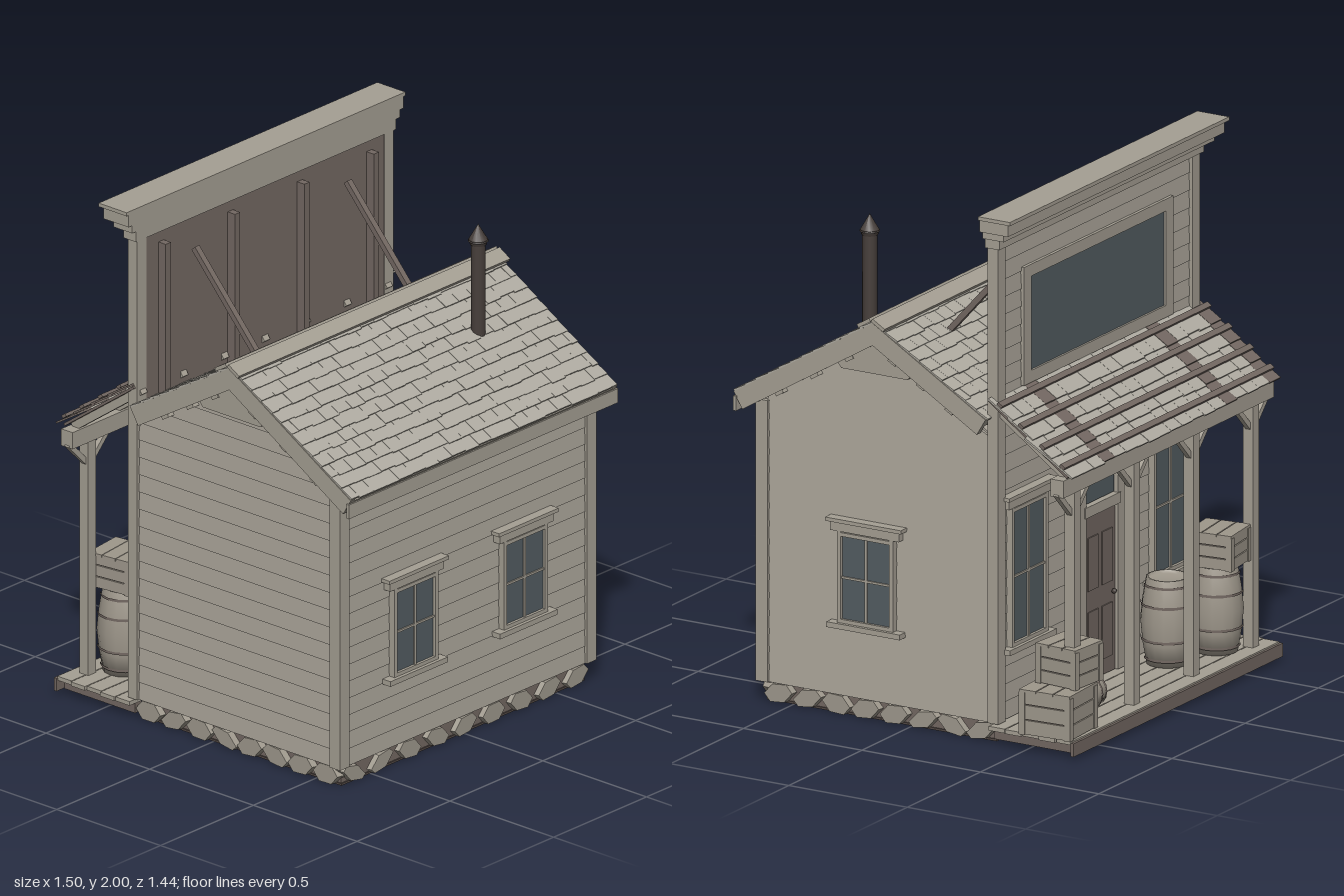
import * as THREE from 'three';
import { mergeGeometries } from 'three/addons/utils/BufferGeometryUtils.js';

const mat = (name, color) => {
  const m = new THREE.MeshStandardMaterial({ color });
  m.name = name;
  return m;
};
const M = {
  siding: mat('siding', 0xaaa499), trim: mat('trim', 0xa59f93), roof: mat('shingle', 0xafaba1),
  brown: mat('dark wood', 0x736862), glass: mat('glass', 0x535d62), stone: mat('stone', 0x9e988c),
  iron: mat('iron', 0x473f3b), base: mat('underside', 0x524844), crate: mat('crate wood', 0x9e978b),
};

let seed = 7;
const rnd = () => (seed = (seed * 16807) % 2147483647) / 2147483647;

function add(parent, name, geo, material, x = 0, y = 0, z = 0) {
  const m = new THREE.Mesh(geo, material);
  m.name = name;
  m.position.set(x, y, z);
  parent.add(m);
  return m;
}
const box = (p, name, m, w, h, d, x, y, z) => add(p, name, new THREE.BoxGeometry(w, h, d), m, x, y, z);
function group(parent, name, x = 0, y = 0, z = 0, ry = 0, rx = 0) {
  const g = new THREE.Group();
  g.name = name;
  g.position.set(x, y, z);
  g.rotation.set(rx, ry, 0, 'YXZ');
  parent.add(g);
  return g;
}

// Tapered clapboards facing +z, one per course, width following widthAt(y)
function siding(parent, name, y0, y1, widthAt, x, z, ry) {
  const parts = [], n = Math.round((y1 - y0) / 0.066), h = (y1 - y0) / n;
  for (let i = 0; i < n; i++) {
    const b = y0 + i * h, g = new THREE.BoxGeometry(1, 1, 1), p = g.attributes.position;
    for (let k = 0; k < p.count; k++) {
      const top = p.getY(k) > 0;
      p.setXYZ(k, p.getX(k) * widthAt(top ? b + h : b), top ? b + h : b,
        p.getZ(k) < 0 ? -0.005 : top ? 0.007 : 0.011);
    }
    g.computeVertexNormals();
    parts.push(g);
  }
  add(parent, name, mergeGeometries(parts), M.siding, x, 0, z).rotation.y = ry;
}

// Four-pane sash window facing +z, centred on its glass
function makeWindow(parent, name, w, h, x, y, z, ry) {
  const g = group(parent, name, x, y, z, ry);
  box(g, 'glass', M.glass, w, h, 0.008, 0, 0, 0.012);
  for (const s of [-1, 1]) {
    box(g, 'jamb', M.trim, 0.016, h + 0.03, 0.03, s * (w / 2 + 0.005), 0, 0.012);
    box(g, 'rail', M.trim, w, 0.014, 0.03, 0, s * (h / 2 + 0.003), 0.012);
  }
  box(g, 'mullion', M.trim, 0.01, h, 0.012, 0, 0, 0.016);
  box(g, 'meetingRail', M.trim, w, 0.008, 0.012, 0, 0, 0.016);
  box(g, 'head', M.trim, w + 0.08, 0.035, 0.03, 0, h / 2 + 0.032, 0.015);
  box(g, 'headCap', M.trim, w + 0.11, 0.014, 0.045, 0, h / 2 + 0.056, 0.018);
  box(g, 'sill', M.trim, w + 0.1, 0.02, 0.045, 0, -h / 2 - 0.02, 0.018);
}

// Staggered rows of slightly tilted shingles running down local +z
function shingles(parent, name, length, width, rows, cols, stagger, isDark = () => false) {
  const sets = [[], []], step = length / rows, cw = width / cols;
  for (let r = 0; r < rows; r++) {
    const shift = r % 2 ? stagger : 0;
    for (let c = 0; c < cols + (shift ? 1 : 0); c++) {
      const a = Math.max(0, c - shift) * cw, b = Math.min(cols, c + 1 - shift) * cw;
      const L = step * 1.15 + rnd() * 0.008;
      const g = new THREE.BoxGeometry(b - a - 0.001, 0.007, L);
      g.rotateX(-0.07);
      g.translate(-width / 2 + (a + b) / 2, -0.006 + rnd() * 0.002, r * step + L / 2);
      sets[isDark(c) ? 1 : 0].push(g);
    }
  }
  add(parent, name, mergeGeometries(sets[0]), M.roof);
  if (sets[1].length) add(parent, name + 'Dark', mergeGeometries(sets[1]), M.brown);
}

function makeCrate(parent, w, h, d, x, y, z, ry) {
  const g = group(parent, 'crate', x, y + h / 2, z, ry);
  box(g, 'core', M.brown, w - 0.02, h - 0.012, d - 0.02, 0, 0, 0);
  for (let i = -1; i <= 1; i++) {
    box(g, 'slats', M.crate, w - 0.008, h / 3 - 0.004, d - 0.008, 0, i * h / 3, 0);
    box(g, 'lidBoard', M.crate, w, 0.01, d / 3 - 0.004, 0, h / 2 - 0.005, i * d / 3);
  }
  for (const a of [-1, 1]) for (const b of [-1, 1])
    box(g, 'cornerPost', M.crate, 0.024, h - 0.01, 0.024, a * (w / 2 - 0.012), -0.005, b * (d / 2 - 0.012));
}

function makeBarrel(parent, r, h, x, y, z) {
  const g = group(parent, 'barrel', x, y, z);
  const pts = [[0, 0], [0.78, 0], [0.92, 0.25], [1, 0.5], [0.92, 0.75], [0.78, 1], [0.7, 1], [0.7, 0.96], [0, 0.96]]
    .map(([a, b]) => new THREE.Vector2(a * r, b * h));
  add(g, 'staves', new THREE.LatheGeometry(pts, 16), M.crate);
  for (const [t, k] of [[0.08, 0.84], [0.3, 0.95], [0.7, 0.95], [0.92, 0.84]])
    add(g, 'hoop', new THREE.CylinderGeometry(r * k + 0.003, r * k + 0.003, 0.01, 16, 1, true), M.brown, 0, t * h, 0);
  return g;
}

export function createModel() {
  const root = new THREE.Group();
  root.name = 'storefront';

  // Foundation with rough stones over a dark underside
  box(root, 'foundation', M.brown, 1.3, 0.08, 0.96, 0, 0.05, 0.13);
  box(root, 'underside', M.base, 1.31, 0.008, 0.97, 0, 0.008, 0.13);
  const stone = (x, z, ry) => {
    const g = new THREE.CylinderGeometry(0.056, 0.066, 0.05, 6), p = g.attributes.position;
    g.rotateZ(Math.PI / 2).rotateY(Math.PI / 2);
    const a = rnd() - 0.5;
    for (let i = 0; i < p.count; i++)
      p.setXY(i, p.getX(i) * 1.05 + p.getY(i) * a * 0.5, THREE.MathUtils.clamp((p.getY(i) + p.getX(i) * a) * 0.72, -0.036, 0.036));
    const flat = g.toNonIndexed();
    flat.computeVertexNormals();
    add(root, 'foundationStone', flat, M.stone, x, 0.041, z).rotation.y = ry;
  };
  for (let i = 0; i < 9; i++) stone(-0.6 + i * 0.15, 0.605, 0);
  for (let i = 0; i < 8; i++) for (const s of [-1, 1]) stone(s * 0.65, 0.555 - i * 0.122, s * Math.PI / 2);

  // Gabled body
  const gable = new THREE.Shape([[-0.49, 0.08], [0.49, 0.08], [0.49, 1.15], [0, 1.45], [-0.49, 1.15]]
    .map(([a, b]) => new THREE.Vector2(a, b)));
  const body = new THREE.ExtrudeGeometry(gable, { depth: 1.34, bevelEnabled: false });
  body.translate(0, 0, -0.67);
  body.rotateY(Math.PI / 2);
  add(root, 'body', body, M.siding, 0, 0, 0.13);
  const gableWidth = y => Math.max(0.01, 2 * Math.min(0.49, (1.44 - y) / 0.61));
  siding(root, 'frontSiding', 0.08, 1.13, () => 1.34, 0, 0.62, 0);
  siding(root, 'porchSiding', 0.08, 1.87, () => 1.34, 0, -0.36, Math.PI);
  for (const s of [-1, 1]) {
    siding(root, 'gableSiding', 0.08, 1.43, gableWidth, s * 0.67, 0.13, s * Math.PI / 2);
    box(root, 'cornerBoard', M.trim, 0.05, 1.06, 0.05, s * 0.665, 0.61, 0.615);
    box(root, 'falseFrontCorner', M.trim, 0.05, 1.79, 0.045, s * 0.665, 0.975, -0.3605);
  }

  // Main roof, both slopes with the ridge at z = 0.13
  for (const [name, len, ry] of [['frontSlope', 0.688, 0], ['porchSlope', 0.56, Math.PI]]) {
    const g = group(root, name, 0, 1.522, 0.13, ry, 0.54);
    box(g, 'roofDeck', M.trim, 1.41, 0.03, len, 0, -0.03, len / 2);
    shingles(g, 'roofShingles', len - 0.01, 1.43, Math.round(len / 0.058), 20, 0.45);
    for (const s of [-1, 1]) {
      box(g, 'bargeBoard', M.trim, 0.025, 0.072, len, s * 0.705, -0.043, len / 2);
      for (let i = 1; i < 4; i++) box(g, 'purlinEnd', M.trim, 0.05, 0.016, 0.035, s * 0.685, -0.083, i * len / 4);
    }
    box(g, 'ridgeCap', M.trim, 1.46, 0.014, 0.06, 0, 0.008, 0.03);
  }
  box(root, 'eaveFascia', M.trim, 1.45, 0.055, 0.012, 0, 1.12, 0.708);
  const peak = new THREE.ExtrudeGeometry(new THREE.Shape([[-0.14, 1.32], [0.14, 1.32], [0.17, 1.36], [0, 1.455], [-0.17, 1.36]]
    .map(([a, b]) => new THREE.Vector2(a, b))), { depth: 0.02, bevelEnabled: false });
  for (const s of [-1, 1]) add(root, 'gablePeak', peak, M.trim, s * 0.685, 0, 0.13).rotation.y = s * Math.PI / 2;

  // Stove pipe
  add(root, 'stovePipe', new THREE.CylinderGeometry(0.027, 0.027, 0.38, 12), M.iron, 0.372, 1.55, 0.355);
  add(root, 'pipeCollar', new THREE.CylinderGeometry(0.036, 0.03, 0.02, 12), M.iron, 0.372, 1.73, 0.355);
  add(root, 'pipeCap', new THREE.ConeGeometry(0.038, 0.065, 12), M.iron, 0.372, 1.767, 0.355);

  // False front with studs, braces and stepped cornice
  box(root, 'falseFront', M.siding, 1.34, 0.77, 0.015, 0, 1.485, -0.353);
  box(root, 'falseFrontInside', M.brown, 1.28, 0.72, 0.006, 0, 1.51, -0.343);
  for (const x of [-0.56, -0.187, 0.187, 0.56]) box(root, 'stud', M.brown, 0.028, 0.62, 0.035, x, 1.52, -0.322);
  for (const x of [-0.41, 0.41])
    box(root, 'brace', M.brown, 0.024, 0.46, 0.022, x, 1.595, -0.155).rotation.x = -0.73;
  for (const [w, y, h, back] of [[1.4, 1.89, 0.04, 0.395], [1.44, 1.925, 0.03, 0.425], [1.48, 1.963, 0.046, 0.455], [1.5, 1.993, 0.014, 0.47]])
    box(root, 'cornice', M.trim, w, h, back - 0.335, 0, y, -(back + 0.335) / 2);

  // Blank sign board
  box(root, 'signBoard', M.glass, 0.92, 0.36, 0.008, 0, 1.53, -0.37);
  for (const s of [-1, 1]) {
    box(root, 'signFrame', M.trim, 1.02, 0.045, 0.022, 0, 1.53 + s * 0.2, -0.371);
    box(root, 'signFrame', M.trim, 0.05, 0.4, 0.022, s * 0.485, 1.53, -0.371);
  }

  // Windows
  for (const s of [-1, 1]) {
    makeWindow(root, 'frontWindow', 0.21, 0.32, s * 0.295, 0.53, 0.628, 0);
    makeWindow(root, 'porchWindow', 0.22, 0.5, s * 0.485, 0.61, -0.366, Math.PI);
  }
  makeWindow(root, 'sideWindow', 0.21, 0.32, 0.678, 0.53, 0.17, Math.PI / 2);

  // Door with transom
  const door = group(root, 'door', 0, 0.08, -0.37, Math.PI);
  box(door, 'doorLeaf', M.brown, 0.22, 0.62, 0.014, 0, 0.31, 0.008);
  box(door, 'transomGlass', M.glass, 0.2, 0.1, 0.009, 0, 0.72, 0.01);
  for (const s of [-1, 1]) {
    box(door, 'doorCasing', M.trim, 0.045, 0.8, 0.03, s * 0.13, 0.4, 0.012);
    for (const y of [0.16, 0.44]) box(door, 'doorPanel', M.brown, 0.07, 0.2, 0.008, s * 0.048, y, 0.016);
  }
  for (const [y, h, w] of [[0.645, 0.04, 0.24], [0.8, 0.045, 0.34], [0.83, 0.015, 0.37]])
    box(door, 'doorHead', M.trim, w, h, 0.034, 0, y, 0.014);
  add(door, 'doorKnob', new THREE.SphereGeometry(0.01, 8, 6), M.iron, 0.085, 0.3, 0.025);

  // Porch deck, joists and rim
  for (let i = 0; i < 5; i++) box(root, 'deckPlank', M.trim, 1.41 + rnd() * 0.02, 0.016, 0.067, 0, 0.068, -0.39 - i * 0.071);
  for (let i = 0; i < 7; i++) box(root, 'joist', M.brown, 0.035, 0.04, 0.34, -0.66 + i * 0.22, 0.04, -0.53);
  box(root, 'porchRim', M.brown, 1.43, 0.05, 0.014, 0, 0.045, -0.711);

  // Porch posts, knee braces and beam
  for (const x of [-0.61, -0.203, 0.203, 0.61]) {
    box(root, 'porchPost', M.trim, 0.042, 0.93, 0.042, x, 0.54, -0.648);
    for (const s of [-1, 1]) box(root, 'kneeBrace', M.trim, 0.02, 0.15, 0.02, x + s * 0.055, 0.945, -0.648).rotation.z = -s * 0.78;
  }
  box(root, 'porchBeam', M.trim, 1.44, 0.065, 0.055, 0, 1.02, -0.65);

  // Porch roof with battens and a few dark strips
  const porch = group(root, 'porchRoof', 0, 1.315, -0.36, Math.PI, 0.62);
  shingles(porch, 'porchShingles', 0.41, 1.43, 4, 19, 0, c => [3, 14, 18].includes(c));
  box(porch, 'porchRoofDeck', M.brown, 1.4, 0.01, 0.41, 0, -0.02, 0.205);
  for (let i = 0; i < 7; i++) box(porch, 'rafter', M.trim, 0.03, 0.035, 0.4, -0.66 + i * 0.22, -0.038, 0.2);
  for (const d of [0.05, 0.16, 0.27, 0.375]) box(porch, 'batten', M.brown, 1.43, 0.012, 0.022, 0, 0.007, d);
  box(porch, 'looseBoard', M.roof, 0.045, 0.008, 0.18, -0.7, -0.006, 0.29).rotation.y = 0.15;

  // Goods on the porch
  makeCrate(root, 0.21, 0.17, 0.21, 0.63, 0.078, -0.6, 0.06);
  makeCrate(root, 0.17, 0.15, 0.18, 0.57, 0.25, -0.61, -0.08);
  makeBarrel(root, 0.07, 0.18, 0.5, 0.15, -0.56).rotation.z = Math.PI / 2;
  makeBarrel(root, 0.1, 0.325, -0.5, 0.078, -0.57);
  makeBarrel(root, 0.1, 0.325, -0.28, 0.078, -0.5);
  makeCrate(root, 0.17, 0.135, 0.18, -0.5, 0.405, -0.58, 0.12);

  return root;
}
